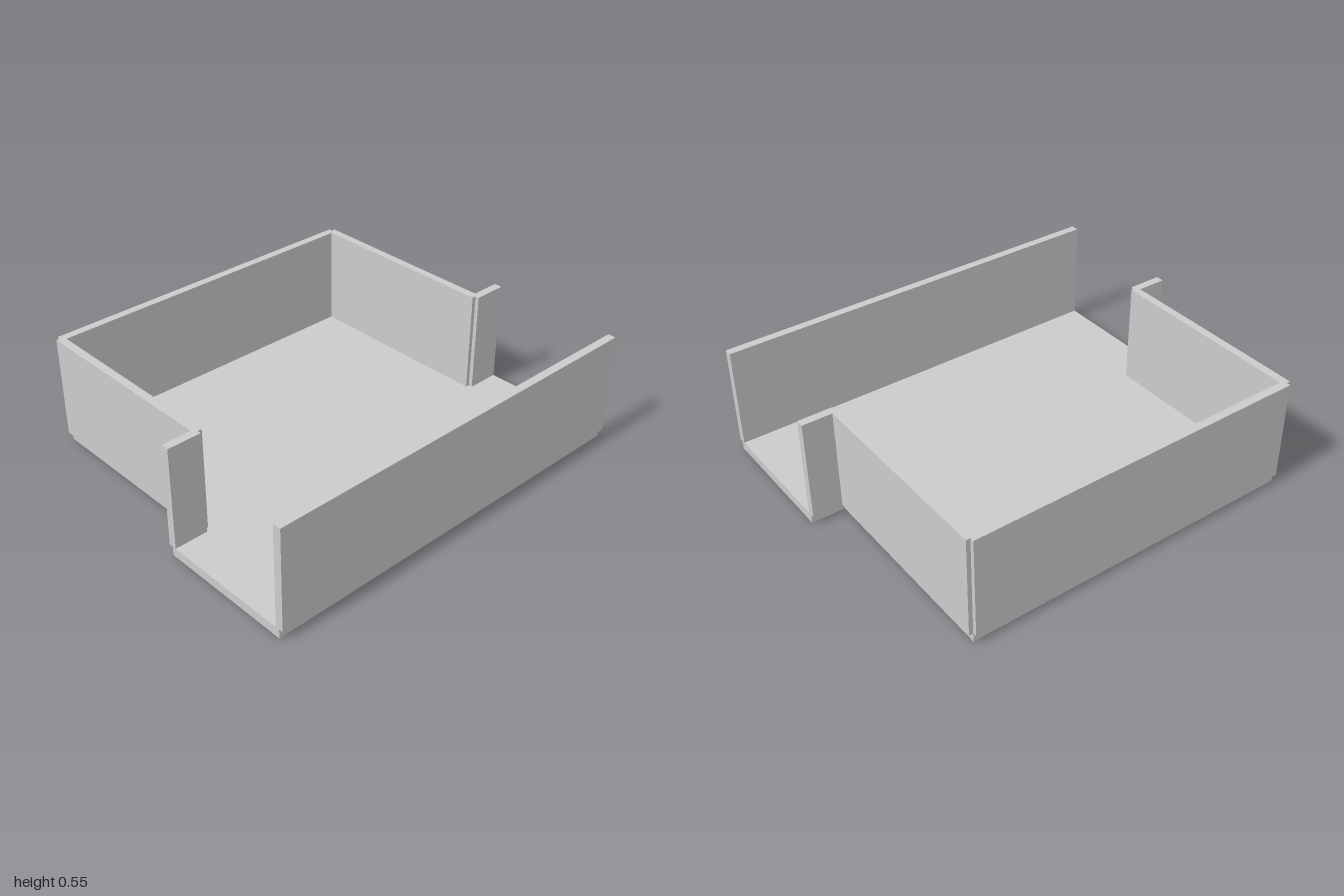
import * as THREE from 'three';

const FLOOR = 0.045, TOP = 0.545, T = 0.04;
// Floor outline: walls are centred on its edges
const LEFT = 0.832, RIGHT = -0.835, STEP = 0.165, INNER = 0.835, OUTER = 1;

export function createModel() {
  const group = new THREE.Group();
  const material = new THREE.MeshStandardMaterial({ color: 0xcccccc, flatShading: true });

  const add = (name, geometry) => {
    const mesh = new THREE.Mesh(geometry, material);
    mesh.name = name;
    group.add(mesh);
    return mesh;
  };

  // Wall standing on the floor, spanning the given x and z ranges
  const wall = (name, x0, x1, z0, z1) => {
    const mesh = add(name, new THREE.BoxGeometry(x1 - x0, TOP - FLOOR, z1 - z0));
    mesh.position.set((x0 + x1) / 2, (FLOOR + TOP) / 2, (z0 + z1) / 2);
  };

  // T-shaped floor slab
  const outline = new THREE.Shape([
    [RIGHT, -INNER], [STEP, -INNER], [STEP, -OUTER], [LEFT, -OUTER],
    [LEFT, OUTER], [STEP, OUTER], [STEP, INNER], [RIGHT, INNER],
  ].map(([x, y]) => new THREE.Vector2(x, y)));
  const slab = new THREE.ExtrudeGeometry(outline, { depth: FLOOR, bevelEnabled: false });
  add('floor', slab.rotateX(-Math.PI / 2));

  // Long side walls
  wall('leftWall', LEFT - T / 2, LEFT + T / 2, -OUTER, OUTER);
  wall('rightWall', RIGHT - T / 2, RIGHT + T / 2, -INNER, INNER);

  // End walls and the short returns beside the open ends
  for (const [end, s] of [['front', 1], ['back', -1]]) {
    const z = s * INNER;
    wall(end + 'Wall', RIGHT, STEP, z - T / 2, z + T / 2);
    wall(end + 'ReturnWall', STEP - T / 2, STEP + T / 2,
      Math.min(z, s * OUTER), Math.max(z, s * OUTER));
  }
  return group;
}
